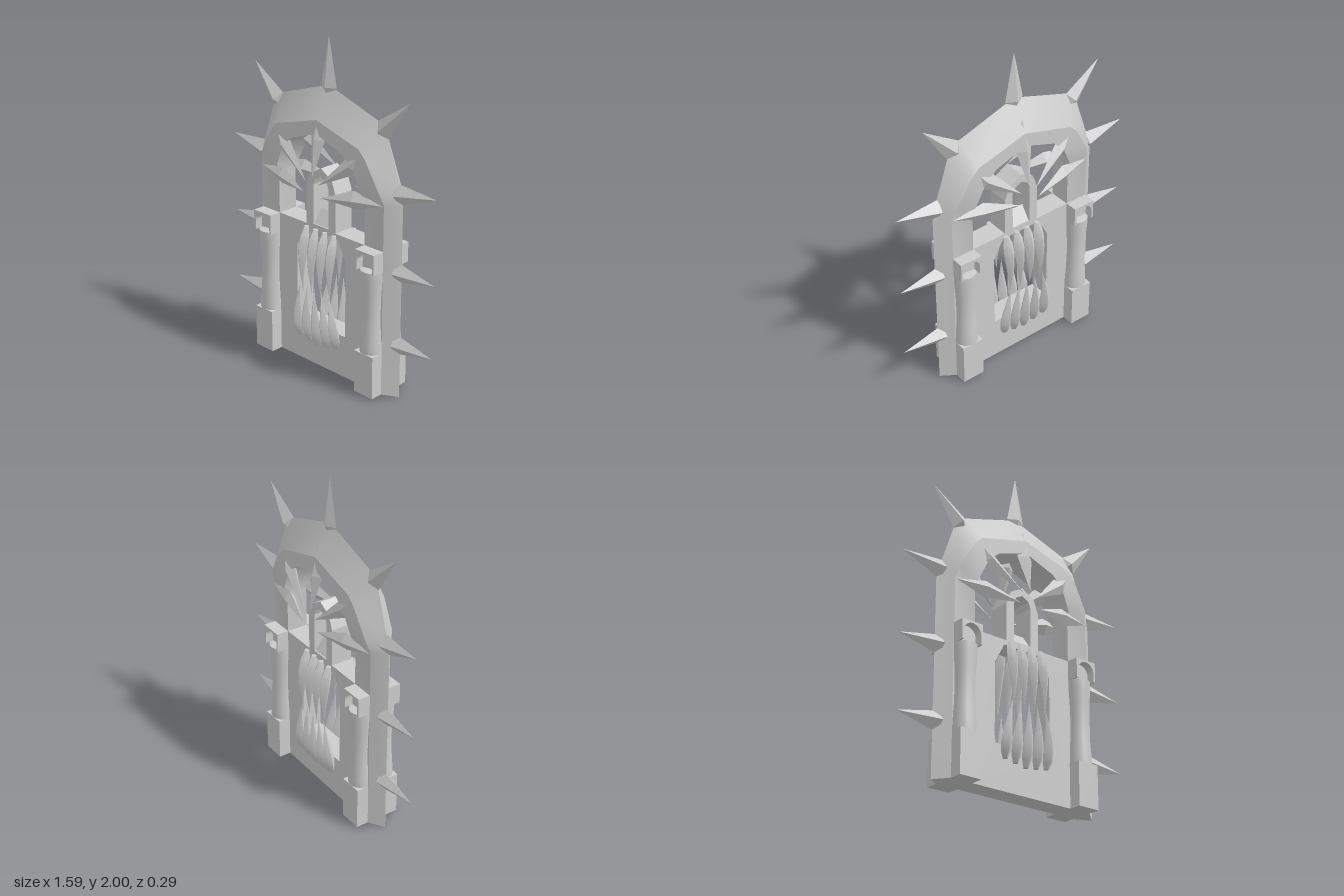
import * as THREE from 'three';
import { toCreasedNormals } from 'three/addons/utils/BufferGeometryUtils.js';

const grey = new THREE.MeshStandardMaterial({ color: 0xcccccc });
const V = (x, y, z) => new THREE.Vector3(x, y, z);

// Skin closed cross-sections (equal point counts) and cap both ends, facing outward
function loft(rings, crease = 0.4) {
  const n = rings[0].length, tris = [];
  for (let i = 0; i < rings.length - 1; i++) {
    for (let j = 0; j < n; j++) {
      const k = (j + 1) % n;
      const a = rings[i][j], b = rings[i][k], c = rings[i + 1][k], d = rings[i + 1][j];
      tris.push([a, b, c], [a, c, d]);
    }
  }
  const last = rings[rings.length - 1];
  for (let j = 1; j < n - 1; j++) {
    tris.push([rings[0][0], rings[0][j + 1], rings[0][j]], [last[0], last[j], last[j + 1]]);
  }
  const solid = tris.filter(([a, b, c]) => b.clone().sub(a).cross(c.clone().sub(a)).length() > 1e-9);
  let volume = 0;
  for (const [a, b, c] of solid) volume += a.dot(b.clone().cross(c));
  const pts = solid.flatMap(([a, b, c]) => (volume < 0 ? [a, c, b] : [a, b, c]));
  return toCreasedNormals(new THREE.BufferGeometry().setFromPoints(pts), crease);
}

// Four-sided double-pointed spike: widest at mid, tapering to both tips
function dart(a, mid, b, halfWidth, halfDepth) {
  const side = V(-(b.y - a.y), b.x - a.x, 0).normalize().multiplyScalar(halfWidth);
  const depth = V(0, 0, halfDepth);
  const ring = [mid.clone().add(side), mid.clone().add(depth), mid.clone().sub(side), mid.clone().sub(depth)];
  return loft([Array(4).fill(a), ring, Array(4).fill(b)], 0.1);
}

// Curved ribbed tooth, thick at the root and pointed at the tip
function tooth(root, bend, tip, radius) {
  const curve = new THREE.QuadraticBezierCurve3(root, bend, tip);
  const widths = [0.45, 0.9, 1, 0.9, 0.7, 0.45, 0.2, 0.01];
  return loft(widths.map((w, i) => {
    const p = curve.getPoint(i / (widths.length - 1));
    return Array.from({ length: 8 }, (_, j) => {
      const t = j * Math.PI / 4, r = radius * w * (j % 2 ? 0.8 : 1);
      return V(p.x + Math.cos(t) * r, p.y, p.z + Math.sin(t) * r);
    });
  }), 0.3);
}

// Flat outline, optionally pierced, extruded evenly about z = 0
function slab(outline, hole, depth) {
  const shape = new THREE.Shape(outline.map(p => new THREE.Vector2(...p)));
  if (hole) shape.holes.push(new THREE.Path(hole.map(p => new THREE.Vector2(...p))));
  return new THREE.ExtrudeGeometry(shape, { depth, bevelEnabled: false }).translate(0, 0, -depth / 2);
}

// Full outline from its right half, listed bottom to top
const mirrorX = half => [...half, ...half.filter(p => p[0] > 0).reverse().map(([x, y]) => [-x, y])];

export function createModel() {
  const model = new THREE.Group();
  const add = (name, geometry, parent = model) => {
    const mesh = new THREE.Mesh(geometry, grey);
    mesh.name = name;
    parent.add(mesh);
    return mesh;
  };
  const group = name => {
    const g = new THREE.Group();
    g.name = name;
    model.add(g);
    return g;
  };

  // Arched frame: [ridge x, y, shoulder x, y, inner x, y, half depth]
  const stations = [
    [0.56, 0, 0.48, 0.01, 0.34, 0.01, 0.065],
    [0.56, 1.16, 0.48, 1.16, 0.34, 1.13, 0.065],
    [0.53, 1.27, 0.46, 1.24, 0.33, 1.2, 0.09],
    [0.45, 1.51, 0.37, 1.4, 0.27, 1.33, 0.1],
    [0.37, 1.6, 0.32, 1.45, 0.2, 1.39, 0.1],
    [0, 1.72, 0, 1.54, 0, 1.46, 0.1],
  ];
  const section = (s, m) => [V(m * s[0], s[1], 0), V(m * s[2], s[3], s[6]), V(m * s[4], s[5], s[6]),
    V(m * s[4], s[5], -s[6]), V(m * s[2], s[3], -s[6])];
  add('archFrame', loft([...stations.map(s => section(s, 1)),
    ...stations.slice(0, -1).reverse().map(s => section(s, -1))], 0.5));

  // Outer spikes
  const spikes = group('outerSpikes');
  add('topSpike', dart(V(0, 1.62, 0), V(0, 1.71, 0), V(0, 2, 0), 0.06, 0.035), spikes);
  for (const m of [1, -1]) {
    add('shoulderSpike', dart(V(m * 0.36, 1.51, 0), V(m * 0.41, 1.555, 0), V(m * 0.6, 1.745, 0), 0.06, 0.04), spikes);
    for (const [y, tipY] of [[0.325, 0.325], [0.765, 0.765], [1.22, 1.26]]) {
      add('sideSpike', dart(V(m * 0.49, y, 0), V(m * 0.525, y, 0), V(m * 0.795, tipY, 0), 0.062, 0.045), spikes);
    }
  }

  // Wall with the mouth opening
  add('wall', slab([[-0.345, 0.01], [0.345, 0.01], [0.345, 0.89], [-0.345, 0.89]],
    mirrorX([[0.195, 0.27], [0.195, 0.74], [0.13, 0.86]]), 0.13));

  // Small window with a sloping sill
  add('windowFrame', slab(mirrorX([[0.115, 0.88], [0.115, 1.12], [0.085, 1.2], [0, 1.25]]),
    mirrorX([[0.06, 0.9], [0.06, 1.14], [0.045, 1.175], [0, 1.2]]), 0.13));
  add('windowSill', loft([-0.065, 0.065].map(x => [V(x, 0.89, 0.064), V(x, 0.89, -0.064), V(x, 0.98, 0)])));

  // Rays between window and arch, on both faces: outer tip, widest point, inner tip
  const rays = group('rays');
  const rayPoints = [
    [[0, 1.62], [0, 1.43], [0, 1.21]],
    [[0.365, 1.46], [0.265, 1.34], [0.05, 1.18]],
    [[0.475, 1.155], [0.285, 1.145], [0.065, 1.11]],
  ];
  for (const f of [1, -1]) {
    for (const [o, w, i] of rayPoints) {
      for (const m of o[0] ? [1, -1] : [1]) {
        add('ray', dart(V(m * o[0], o[1], f * 0.07), V(m * w[0], w[1], f * 0.085), V(m * i[0], i[1], f * 0.135),
          0.053, 0.035), rays);
      }
    }
  }

  // Pillars: plinth, waisted shaft and a capital with a rounded niche
  const profile = [[0, 0.25], [0.07, 0.27], [0.069, 0.32], [0.062, 0.42], [0.059, 0.52], [0.062, 0.62],
    [0.069, 0.72], [0.07, 0.77], [0, 0.78]].map(p => new THREE.Vector2(...p));
  const capital = new THREE.Shape();
  capital.moveTo(-0.07, 0.77).lineTo(-0.058, 0.77).lineTo(-0.058, 0.82);
  capital.absarc(0, 0.82, 0.058, Math.PI, 0, true);
  capital.lineTo(0.058, 0.77).lineTo(0.07, 0.77).lineTo(0.07, 0.89).lineTo(-0.07, 0.89);
  for (const m of [1, -1]) {
    for (const f of [1, -1]) {
      const pillar = group(`${f > 0 ? 'front' : 'back'}${m > 0 ? 'Left' : 'Right'}Pillar`);
      add('plinth', new THREE.BoxGeometry(0.14, 0.26, 0.14).translate(0, 0.14, 0.07), pillar);
      add('shaft', toCreasedNormals(new THREE.LatheGeometry(profile, 20).translate(0, 0, 0.07), 0.7), pillar);
      add('capital', new THREE.ExtrudeGeometry(capital, { depth: 0.05, bevelEnabled: false, curveSegments: 8 })
        .translate(0, 0, 0.09), pillar);
      add('capitalBack', new THREE.BoxGeometry(0.14, 0.12, 0.09).translate(0, 0.83, 0.045), pillar);
      pillar.position.x = m * 0.41;
      if (f < 0) pillar.rotation.y = Math.PI;
    }
  }

  // Two rows of teeth on each face
  const teeth = group('teeth');
  for (const f of [1, -1]) {
    for (let i = 0; i < 4; i++) {
      const x = (i - 1.5) * 0.073 + 0.008;
      add('upperTooth', tooth(V(x, 0.88, f * 0.08), V(x - 0.005, 0.7, f * 0.13), V(x, 0.48, f * 0.11), 0.036), teeth);
    }
    for (let i = 0; i < 5; i++) {
      const x = (i - 2) * 0.072, y = 0.16 + Math.abs(i - 2) * 0.012;
      add('lowerTooth', tooth(V(x, y, f * 0.09), V(x * 1.1, 0.33, f * 0.125), V(x * 0.78, 0.53, f * 0.12), 0.036), teeth);
    }
  }

  return model;
}
